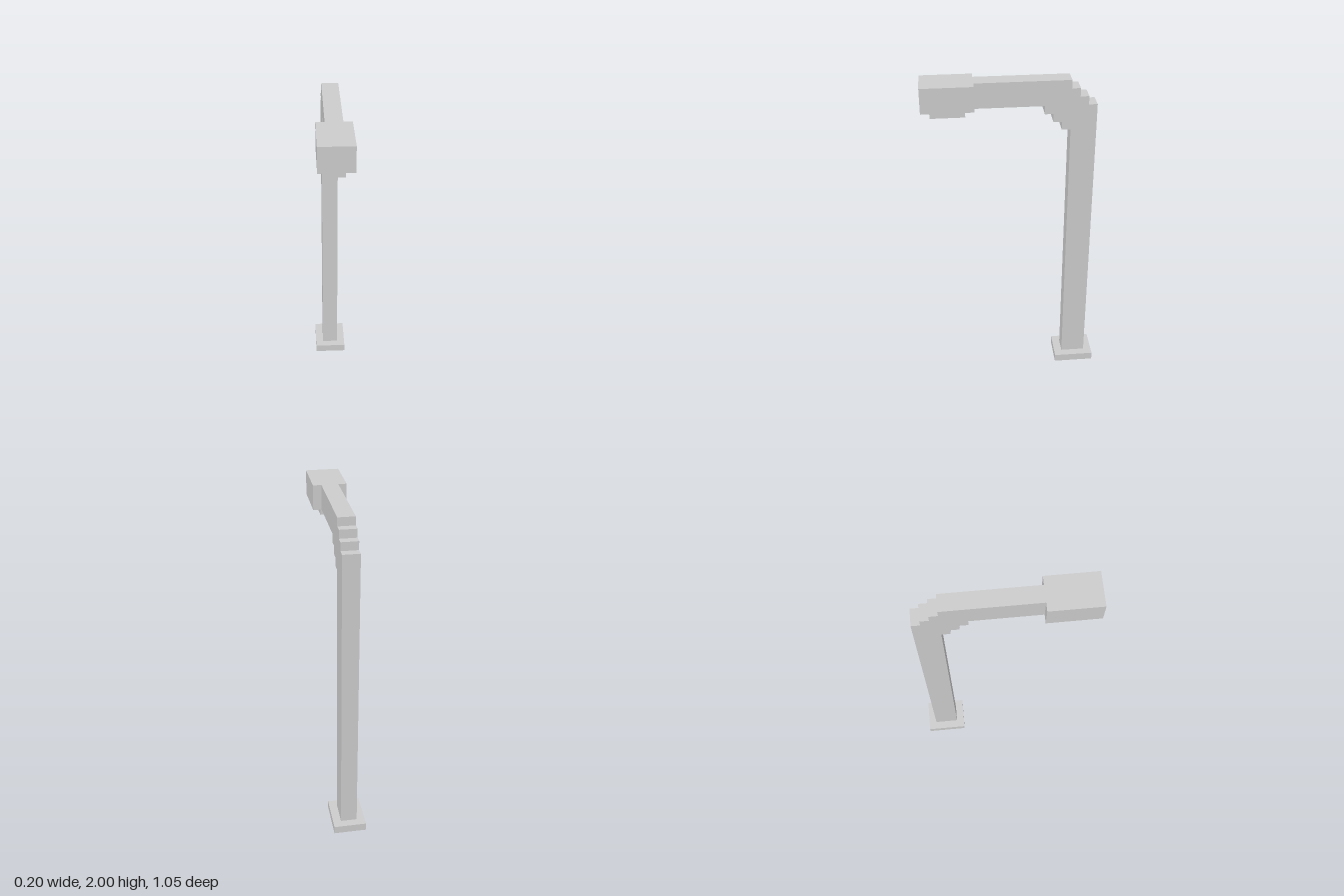
import * as THREE from 'three';

const U = 0.05; // step size of the blocky style

export function createModel() {
  const group = new THREE.Group();
  const material = new THREE.MeshStandardMaterial({ color: 0xcccccc, flatShading: true });

  const add = (name, geometry) => {
    const mesh = new THREE.Mesh(geometry, material);
    mesh.name = name;
    group.add(mesh);
  };
  // Box centred on x, given by its y and z ranges
  const addBox = (name, width, y0, y1, z0, z1) => {
    const geometry = new THREE.BoxGeometry(width, y1 - y0, z1 - z0);
    geometry.translate(0, (y0 + y1) / 2, (z0 + z1) / 2);
    add(name, geometry);
  };

  addBox('basePlate', 0.2, 0, 0.05, -0.525, -0.275);

  // Post and arm: one side profile (z, y) with a stepped bend
  const profile = [[-0.475, 0.05], [-0.325, 0.05]];
  for (let i = 0; i < 3; i++) { // inner steps, going up and forward
    const z = -0.325 + i * U, y = 1.7 + i * U;
    profile.push([z, y], [z + U, y]);
  }
  profile.push([-0.175, 1.85], [0.225, 1.85], [0.225, 2]);
  for (let i = 0; i < 3; i++) { // outer steps, going down and back
    const z = -0.325 - i * U, y = 2 - i * U;
    profile.push([z, y], [z, y - U]);
  }
  profile.push([-0.475, 1.85]);
  const shape = new THREE.Shape(profile.map(([z, y]) => new THREE.Vector2(z, y)));
  const pole = new THREE.ExtrudeGeometry(shape, { depth: 0.1, bevelEnabled: false });
  pole.translate(0, 0, -0.05).rotateY(-Math.PI / 2);
  add('postAndArm', pole);

  // Lamp housing with the light panel below it
  addBox('lampHead', 0.2, 1.85, 2, 0.225, 0.525);
  addBox('lightPanel', 0.1, 1.8, 1.85, 0.275, 0.475);

  return group;
}
